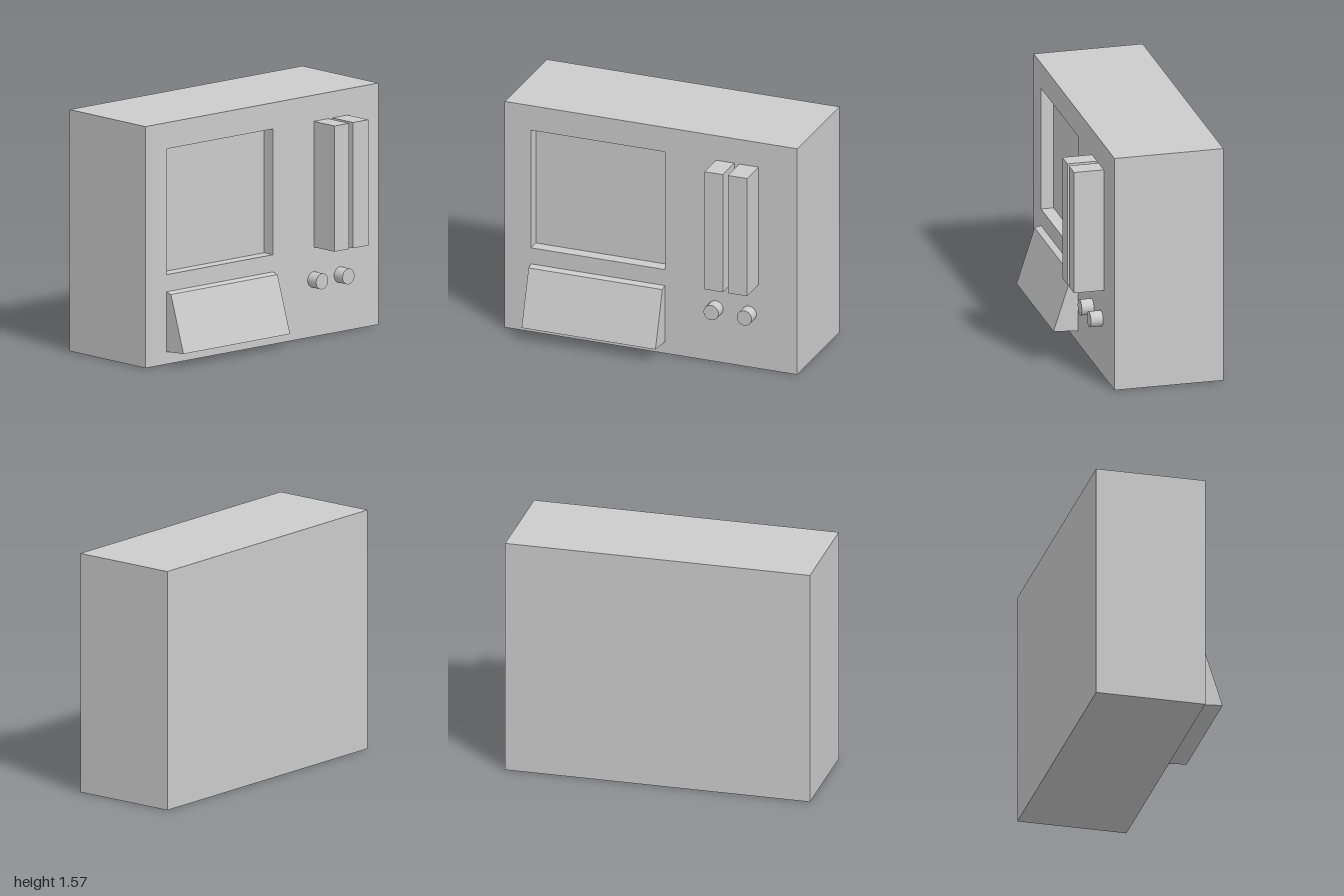
import * as THREE from 'three';

const FRONT = 0.26, BACK = -0.455, HEIGHT = 1.565;
const RECESS = { x0: -0.82, x1: 0.095, y0: 0.58, y1: 1.395, depth: 0.083 };

const grey = new THREE.MeshStandardMaterial({ color: 0xcccccc });

function add(parent, name, geometry, x = 0, y = 0, z = 0) {
  const mesh = new THREE.Mesh(geometry, grey);
  mesh.name = name;
  mesh.position.set(x, y, z);
  parent.add(mesh);
  return mesh;
}

// Box without its +z face
function openBox(w, h, d) {
  const g = new THREE.BoxGeometry(w, h, d);
  const index = Array.from(g.index.array);
  index.splice(24, 6);
  g.setIndex(index);
  g.clearGroups();
  return g;
}

export function createModel() {
  const model = new THREE.Group();
  model.name = 'computerTerminal';

  // Cabinet: shell open at the front
  const cabinet = new THREE.Group();
  cabinet.name = 'cabinet';
  model.add(cabinet);
  add(cabinet, 'cabinetShell', openBox(2, HEIGHT, FRONT - BACK), 0, HEIGHT / 2, (FRONT + BACK) / 2);

  // Front panel with the screen opening
  const { x0, x1, y0, y1, depth } = RECESS;
  const panel = new THREE.Shape();
  panel.moveTo(-1, 0).lineTo(1, 0).lineTo(1, HEIGHT).lineTo(-1, HEIGHT).closePath();
  const opening = new THREE.Path();
  opening.moveTo(x0, y0).lineTo(x0, y1).lineTo(x1, y1).lineTo(x1, y0).closePath();
  panel.holes.push(opening);
  add(cabinet, 'frontPanel', new THREE.ShapeGeometry(panel), 0, 0, FRONT);

  // Recessed screen: an open box turned inside out
  const screen = openBox(x1 - x0, y1 - y0, depth);
  screen.scale(-1, 1, 1);
  screen.computeVertexNormals();
  add(cabinet, 'screenRecess', screen, (x0 + x1) / 2, (y0 + y1) / 2, FRONT - depth / 2);

  // Sloped keyboard: side profile (z, y) extruded across the width
  const profile = new THREE.Shape([
    [FRONT, 0.08], [0.42, 0.091], [0.302, 0.458], [FRONT, 0.469],
  ].map(([z, y]) => new THREE.Vector2(-z, y)));
  const keyboard = new THREE.ExtrudeGeometry(profile, { depth: x1 - x0, bevelEnabled: false });
  keyboard.rotateY(Math.PI / 2).scale(1, 1, 1);
  // the turn maps (-z, y, depth) to (x = depth, y, z)
  add(model, 'keyboard', keyboard, x0, 0, 0);

  // Two upright drive units
  for (const [name, a, b] of [['rightDrive', 0.445, 0.57], ['leftDrive', 0.605, 0.735]]) {
    add(model, name, new THREE.BoxGeometry(b - a, y1 - y0, 0.195), (a + b) / 2, (y0 + y1) / 2, FRONT + 0.0975);
  }

  // Two round knobs
  for (const [name, x] of [['rightKnob', 0.443], ['leftKnob', 0.67]]) {
    const knob = new THREE.CylinderGeometry(0.051, 0.051, 0.08, 32);
    knob.rotateX(Math.PI / 2);
    add(model, name, knob, x, 0.37, FRONT + 0.04);
  }

  return model;
}
